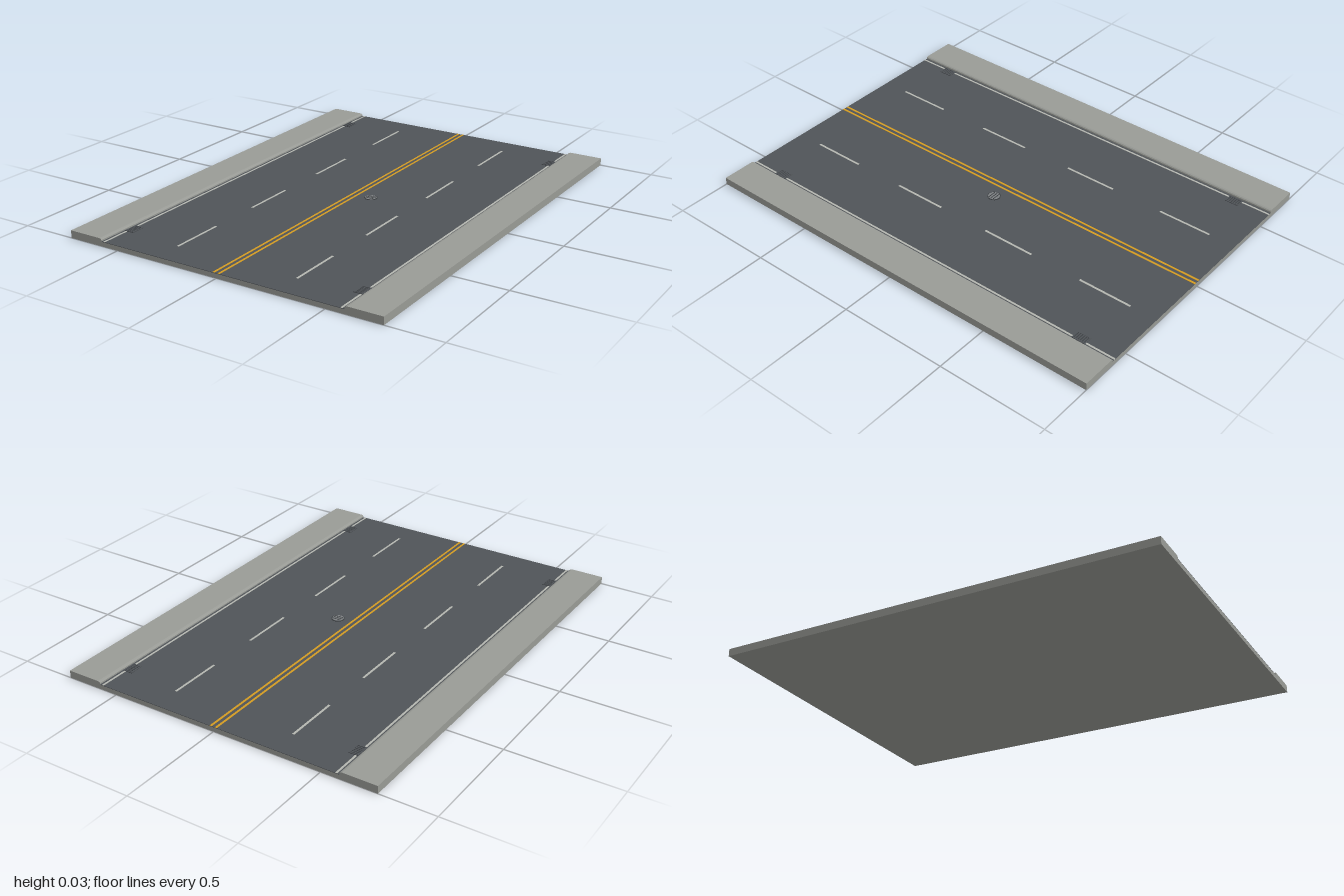
import * as THREE from 'three';

const mat = (name, color) => {
  const m = new THREE.MeshStandardMaterial({ color });
  m.name = name;
  return m;
};

export function createModel() {
  const model = new THREE.Group();
  model.name = 'roadSection';
  const concrete = mat('concrete', 0x999b96);
  const asphalt = mat('asphalt', 0x505458);
  const white = mat('whitePaint', 0xb4b6b0);
  const yellow = mat('yellowPaint', 0xd39b22);
  const iron = mat('darkIron', 0x3c4043);
  const steel = mat('steel', 0x7c8082);
  const ROAD = 0.022;

  // Box placed by its centre in x and z and its bottom in y
  const box = (name, material, w, h, d, x, y, z, parent = model) => {
    const mesh = new THREE.Mesh(new THREE.BoxGeometry(w, h, d), material);
    mesh.position.set(x, y + h / 2, z);
    mesh.name = name;
    parent.add(mesh);
    return mesh;
  };

  // Slab with raised sidewalks and chamfered kerbs
  const half = [[0.75, 0], [0.75, 0.034], [0.596, 0.034], [0.588, 0.032], [0.584, 0.028], [0.584, 0.02]];
  const profile = [...half, ...half.map(([x, y]) => [-x, y]).reverse()];
  const slabShape = new THREE.Shape(profile.map(([x, y]) => new THREE.Vector2(x, y)));
  const slabGeometry = new THREE.ExtrudeGeometry(slabShape, { depth: 2, bevelEnabled: false });
  slabGeometry.translate(0, 0, -1);
  const slab = new THREE.Mesh(slabGeometry, concrete);
  slab.name = 'sidewalkSlab';
  model.add(slab);

  // Road surface
  box('roadSurface', asphalt, 1.168, 0.002, 2, 0, ROAD - 0.002, 0);

  for (const side of [-1, 1]) {
    // Centre lines
    box('centreLine', yellow, 0.01, 0.0008, 2, side * 0.0125, ROAD, 0);

    // Dashed lane lines
    for (const z of [-0.75, -0.25, 0.25, 0.75]) {
      box('laneDash', white, 0.01, 0.0008, 0.25, side * 0.29, ROAD, z);
    }

    // Edge lines, interrupted at the drains
    box('edgeLine', white, 0.009, 0.0008, 1.6, side * 0.57, ROAD, 0);
    for (const end of [-1, 1]) {
      box('edgeLineEnd', white, 0.009, 0.0008, 0.135, side * 0.57, ROAD, end * 0.9325);

      // Kerbside drain grate: frame, pit and cross bars
      const drain = new THREE.Group();
      drain.name = 'stormDrain';
      drain.position.set(side * 0.557, ROAD, end * 0.8325);
      model.add(drain);
      box('drainPit', iron, 0.044, 0.001, 0.064, 0, 0, 0, drain);
      for (const s of [-1, 1]) {
        box('drainFrameSide', asphalt, 0.005, 0.003, 0.064, s * 0.0195, 0, 0, drain);
        box('drainFrameEnd', asphalt, 0.034, 0.003, 0.005, 0, 0, s * 0.0295, drain);
      }
      for (let i = -2; i <= 2; i++) {
        box('drainBar', asphalt, 0.034, 0.0025, 0.005, 0, 0, i * 0.01, drain);
      }
    }
  }

  // Manhole cover with a rim and raised bars
  const manhole = new THREE.Group();
  manhole.name = 'manhole';
  manhole.position.set(0.082, ROAD, 0);
  model.add(manhole);
  const rim = new THREE.Mesh(new THREE.CylinderGeometry(0.03, 0.03, 0.002, 16), iron);
  rim.position.y = 0.001;
  rim.name = 'manholeRim';
  const cover = new THREE.Mesh(new THREE.CylinderGeometry(0.026, 0.026, 0.003, 16), steel);
  cover.position.y = 0.0015;
  cover.name = 'manholeCover';
  manhole.add(rim, cover);
  for (const z of [-0.012, 0, 0.012]) {
    box('manholeBar', iron, z ? 0.04 : 0.046, 0.001, 0.004, 0, 0.003, z, manhole);
  }
  return model;
}
